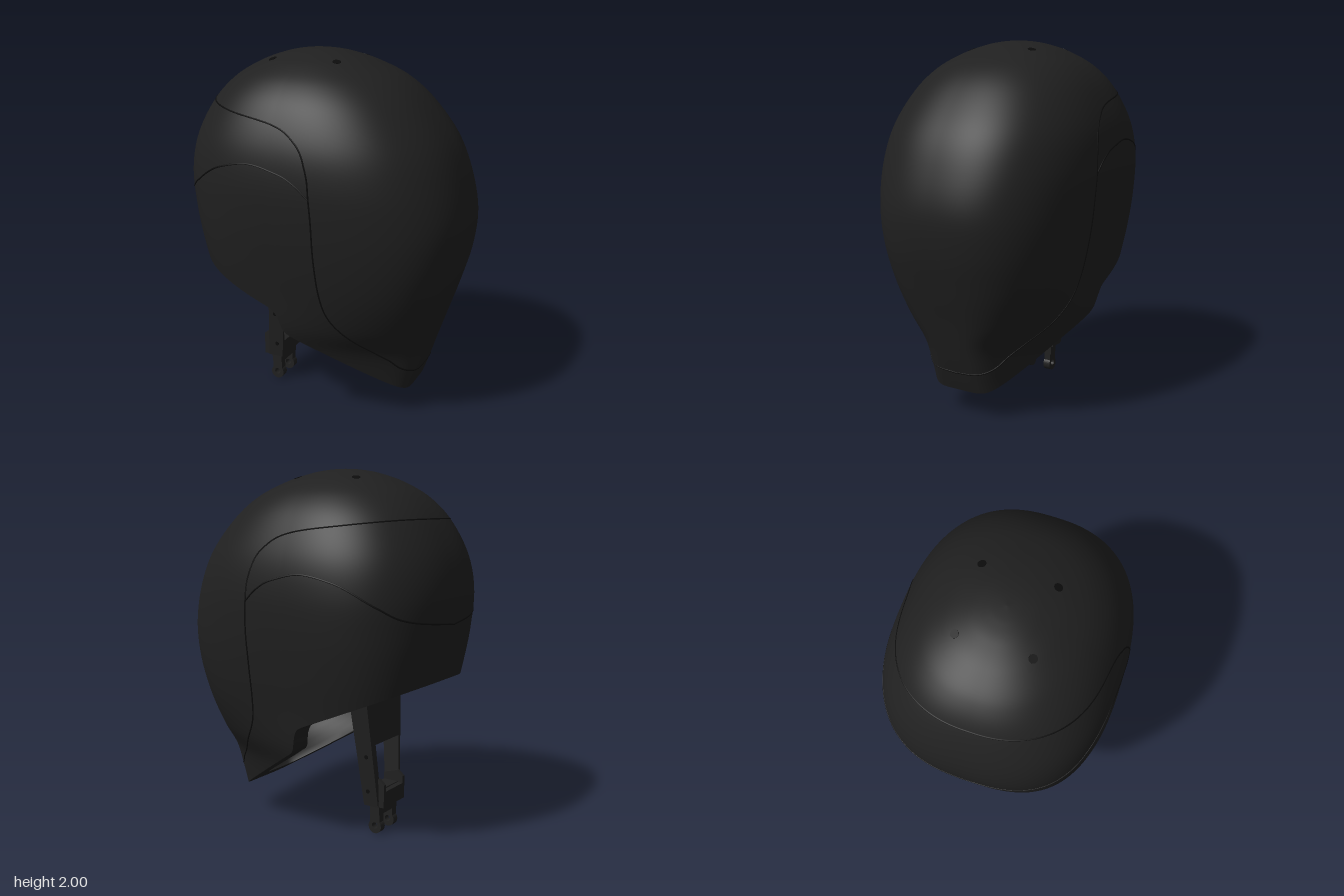
import * as THREE from 'three';
import { mergeVertices } from 'three/addons/utils/BufferGeometryUtils.js';

const CX = -0.1;
// level: y, front reach, rear reach, half width, front squareness, rear squareness, rear taper
const LEVELS = [
  [2, 0, 0, 0, 2.2, 2.2, 0], [1.994, 0.09, 0.09, 0.08, 2.2, 2.2, 0], [1.975, 0.19, 0.19, 0.17, 2.2, 2.2, 0],
  [1.93, 0.315, 0.325, 0.287, 2.25, 2.25, 0], [1.85, 0.45, 0.485, 0.408, 2.3, 2.3, 0],
  [1.73, 0.56, 0.62, 0.505, 2.4, 2.4, 0], [1.55, 0.65, 0.755, 0.583, 2.5, 2.48, 0],
  [1.36, 0.685, 0.835, 0.61, 2.57, 2.55, 0], [1.15, 0.665, 0.88, 0.6, 2.68, 2.62, 0],
  [0.95, 0.625, 0.862, 0.572, 2.8, 2.75, 0], [0.75, 0.58, 0.807, 0.535, 2.8, 2.95, 0.05],
  [0.55, 0.53, 0.742, 0.497, 2.8, 3.4, 0.24], [0.4, 0.5, 0.695, 0.44, 2.8, 3.9, 0.42],
  [0.25, 0.47, 0.645, 0.395, 2.8, 5, 0.46], [0.1, 0.44, 0.588, 0.36, 2.8, 6, 0.42],
];
const LAST = LEVELS.length - 1;
const THICK = 0.13;
// lower edge of the shell, as y over x
const EDGE = [[-0.9, 0.975], [-0.72, 0.9], [-0.18, 0.675], [-0.14, 0.652], [-0.12, 0.615],
  [-0.1, 0.54], [-0.08, 0.51], [0.5, 0.15], [0.9, -0.1]];

function level(u) {
  const i = Math.min(Math.floor(u), LAST - 1), t = u - i;
  const at = (k) => LEVELS[Math.max(0, Math.min(LAST, k))];
  return LEVELS[0].map((_, c) => {
    const a = at(i - 1)[c], b = at(i)[c], d = at(i + 1)[c], e = at(i + 2)[c];
    return b + 0.5 * t * (d - a + t * (2 * a - 5 * b + 4 * d - e + t * (3 * (b - d) + e - a)));
  });
}

// point on the outer skin: angle 0 is the rear (+x), level u runs downwards
function skin(angle, u) {
  const [y, front, rear, w, nFront, nRear, taper] = level(u);
  const c = Math.cos(angle), s = Math.sin(angle);
  const n = c > 0 ? nRear : nFront;
  const r = (Math.abs(c) ** n + Math.abs(s) ** n) ** (-1 / n);
  const narrow = 1 - taper * Math.max(0, c * r) ** 1.3;
  return new THREE.Vector3(CX + c * r * (c > 0 ? rear : front), y, s * r * w * narrow);
}

function edgeY(x) {
  let i = 0;
  while (i < EDGE.length - 2 && x > EDGE[i + 1][0]) i++;
  const [a, b] = [EDGE[i], EDGE[i + 1]];
  return a[1] + (b[1] - a[1]) * (x - a[0]) / (b[0] - a[0]);
}

// last u for which above(u) holds
function bisect(above) {
  let lo = 0, hi = LAST;
  for (let i = 0; i < 28; i++) {
    const mid = (lo + hi) / 2;
    if (above(mid)) lo = mid; else hi = mid;
  }
  return lo;
}

function grid(point, nu, nv) {
  const pos = [], index = [];
  for (let j = 0; j <= nv; j++) {
    for (let i = 0; i <= nu; i++) {
      pos.push(...point(i % nu, j / nv).toArray());
      if (i === nu || j === nv) continue;
      const a = j * (nu + 1) + i, b = a + nu + 1;
      index.push(a, a + 1, b, a + 1, b + 1, b);
    }
  }
  let geo = new THREE.BufferGeometry();
  geo.setAttribute('position', new THREE.Float32BufferAttribute(pos, 3));
  geo.setIndex(index);
  geo = mergeVertices(geo, 1e-5);
  geo.computeVertexNormals();
  return geo;
}

export function createModel() {
  const model = new THREE.Group();
  model.name = 'helmetShell';
  const black = new THREE.MeshStandardMaterial({ color: 0x202020 });
  black.name = 'matt black';
  const dark = new THREE.MeshStandardMaterial({ color: 0x0c0c0c });
  dark.name = 'seam black';
  const add = (name, geo, mat = black, parent = model) => {
    const mesh = new THREE.Mesh(geo, mat);
    mesh.name = name;
    parent.add(mesh);
    return mesh;
  };

  // hollow shell: outer skin, inner skin and the rim joining them
  const N = 280;
  const angles = Array.from({ length: N }, (_, i) => i / N * Math.PI * 2);
  const ends = angles.map((a) => bisect((u) => {
    const p = skin(a, u);
    return p.y > edgeY(p.x);
  }));
  const outer = (i, v) => skin(angles[i], ends[i] * v);
  const inner = (i, v) => {
    const p = outer(i, v);
    const core = new THREE.Vector3(CX, Math.min(p.y, 1.3), 0);
    p.lerp(core, THICK / p.distanceTo(core));
    p.y = v === 1 ? edgeY(p.x) : Math.max(p.y, edgeY(p.x));
    return p;
  };
  const shell = add('outerShell', grid(outer, N, 80));
  add('innerShell', grid((i, v) => inner(i, 1 - v), N, 40));
  add('shellRim', grid((i, v) => outer(i, 1).lerp(inner(i, 1), v), N, 1));

  // panel seams, given in side view and laid on both sides of the skin
  const seams = {
    shellSeam: [[-0.8, 1.738], [-0.6, 1.733], [-0.4, 1.71], [-0.1, 1.665], [0.03, 1.59], [0.1, 1.46],
      [0.122, 1.3], [0.13, 1.0], [0.142, 0.78], [0.17, 0.66], [0.26, 0.53], [0.42, 0.37], [0.52, 0.275], [0.7, 0.255]],
    visorSeam: [[-0.8, 1.2], [-0.7, 1.25], [-0.6, 1.32], [-0.4, 1.435], [-0.22, 1.47], [-0.05, 1.435],
      [0.04, 1.39], [0.12, 1.32]],
  };
  for (const [name, points] of Object.entries(seams)) {
    const path = new THREE.CatmullRomCurve3(points.map(([x, y]) => {
      const u = bisect((k) => level(k)[0] > y);
      const [, front, rear, , nFront, nRear] = level(u);
      const n = x > CX ? nRear : nFront;
      const X = Math.max(-1, Math.min(1, (x - CX) / (x > CX ? rear : front)));
      return new THREE.Vector3(Math.atan2((1 - Math.abs(X) ** n) ** (1 / n), X), u, 0);
    }));
    for (const side of [1, -1]) {
      const line = path.getPoints(90).map((q) => {
        const p = skin(q.x, q.y);
        p.z *= side;
        return p.lerp(new THREE.Vector3(CX, 1.1, 0), 0.003);
      });
      add(name, new THREE.TubeGeometry(new THREE.CatmullRomCurve3(line), 140, 0.0055, 6), dark);
    }
  }

  // four small holes in the crown
  const ray = new THREE.Raycaster();
  for (const x of [-0.29, 0.085]) for (const z of [-0.19, 0.19]) {
    ray.set(new THREE.Vector3(x, 3, z), new THREE.Vector3(0, -1, 0));
    const hit = ray.intersectObject(shell)[0];
    if (!hit) continue;
    const hole = add('crownHole', new THREE.CylinderGeometry(0.022, 0.022, 0.003, 24), dark);
    hole.position.copy(hit.point);
    hole.quaternion.setFromUnitVectors(new THREE.Vector3(0, 1, 0), hit.face.normal);
  }

  // hanging bracket: tapered frame with a window, leaning forward
  const bracket = new THREE.Group();
  bracket.name = 'bracket';
  model.add(bracket);
  const poly = (Type, pts) => new Type(pts.map(([x, y]) => new THREE.Vector2(x, y)));
  const frame = poly(THREE.Shape, [[-0.12, 0.165], [0.12, 0.165], [0.19, 0.85], [-0.19, 0.85]]);
  frame.holes.push(poly(THREE.Path, [[-0.1, 0.26], [-0.122, 0.52], [0.122, 0.52], [0.1, 0.26]]));
  const frameGeo = new THREE.ExtrudeGeometry(frame, { depth: 1, bevelEnabled: false });
  frameGeo.rotateY(Math.PI / 2);
  const pos = frameGeo.attributes.position;
  for (let i = 0; i < pos.count; i++) {
    const t = Math.max(0, (pos.getY(i) - 0.33) / 0.39);
    pos.setX(i, -0.353 + 0.044 * t + (pos.getX(i) - 0.5) * (0.09 + 0.018 * t));
  }
  frameGeo.computeVertexNormals();
  add('bracketFrame', frameGeo, black, bracket);
  const box = (name, w, h, d, x, y) => add(name, new THREE.BoxGeometry(w, h, d), black, bracket).position.set(x, y, 0);
  box('mountPlate', 0.2, 0.04, 0.9, -0.3, 0.89);
  box('bracketBase', 0.122, 0.09, 0.2, -0.369, 0.21);
  box('forkBlock', 0.06, 0.06, 0.19, -0.36, 0.14);

  // side cheeks of the base with a sloping front shoulder
  const cheek = poly(THREE.Shape, [[-0.43, 0.165], [-0.308, 0.165], [-0.308, 0.3], [-0.395, 0.325], [-0.43, 0.295]]);
  const cheekGeo = new THREE.ExtrudeGeometry(cheek, { depth: 0.022, bevelEnabled: false });
  for (const z of [0.09, -0.112]) add('bracketCheek', cheekGeo, black, bracket).position.z = z;

  // screw holes on both sides of the bracket
  for (const [y, half] of [[0.45, 0.148], [0.25, 0.128]]) for (const side of [1, -1]) {
    const screw = add('screwHole', new THREE.CylinderGeometry(0.012, 0.012, 0.006, 16), dark, bracket);
    screw.rotation.x = Math.PI / 2;
    screw.position.set(-0.338, y, side * half);
  }

  // two prongs with eyelets
  const prong = new THREE.Shape();
  prong.moveTo(-0.03, 0.12);
  prong.lineTo(-0.03, 0.067);
  prong.absarc(0, 0.04, 0.04, Math.PI * 0.77, Math.PI * 2.23, false);
  prong.lineTo(0.03, 0.12);
  prong.holes.push(new THREE.Path().absarc(0, 0.045, 0.018, 0, Math.PI * 2, true));
  const prongGeo = new THREE.ExtrudeGeometry(prong, { depth: 0.042, bevelEnabled: false, curveSegments: 24 });
  for (const z of [0.048, -0.09]) add('prong', prongGeo, black, bracket).position.set(-0.36, 0, z);

  return model;
}
